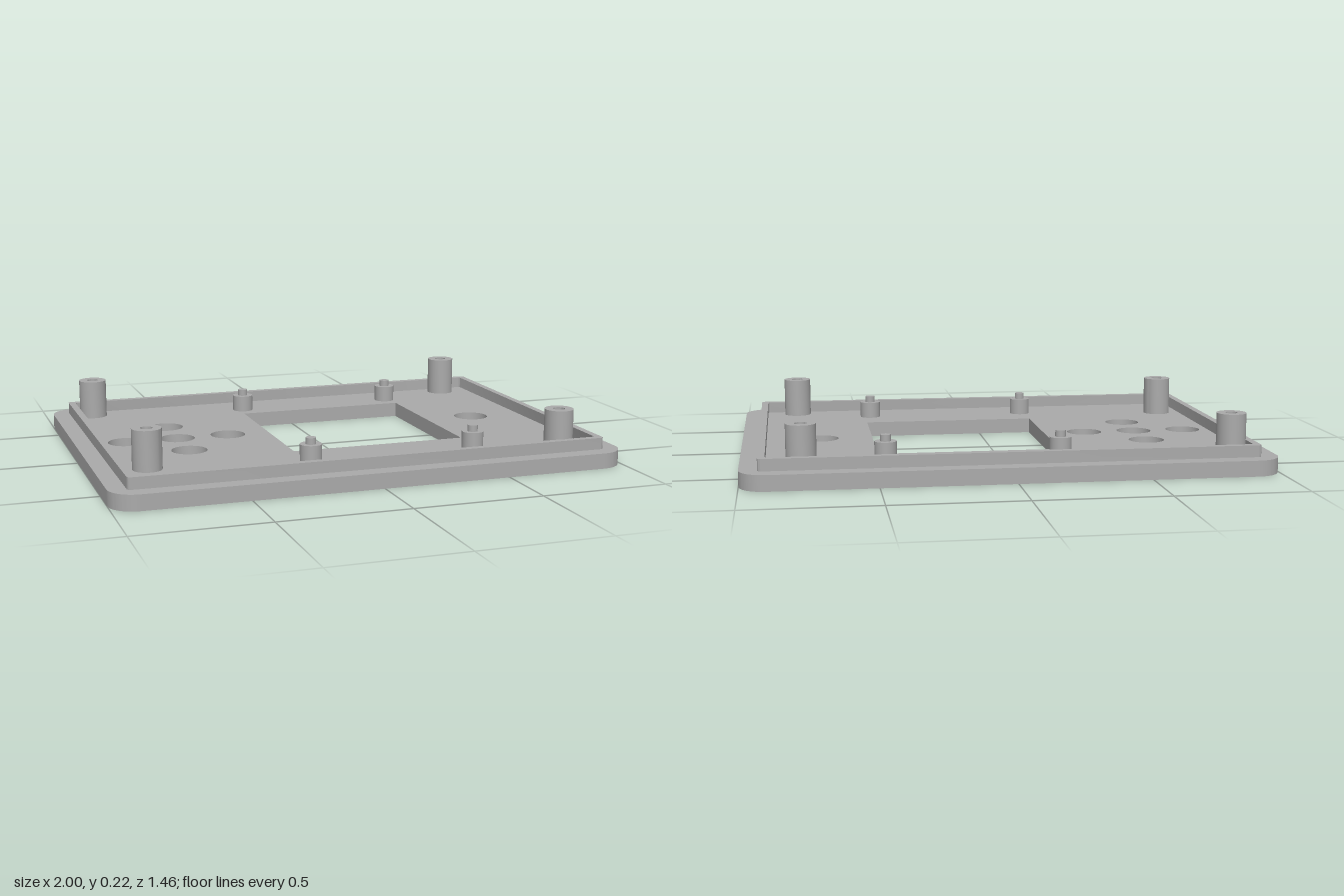
import * as THREE from 'three';
import { toCreasedNormals } from 'three/addons/utils/BufferGeometryUtils.js';

const FLOOR = 0.06;

// Rounded rectangle centred on the origin
function roundedRect(path, hw, hd, r) {
  path.moveTo(hw, -hd + r);
  path.absarc(hw - r, hd - r, r, 0, Math.PI / 2);
  path.absarc(-hw + r, hd - r, r, Math.PI / 2, Math.PI);
  path.absarc(-hw + r, -hd + r, r, Math.PI, Math.PI * 1.5);
  path.absarc(hw - r, -hd + r, r, Math.PI * 1.5, Math.PI * 2);
  path.closePath();
  return path;
}

function circle(path, x, z, r) {
  return path.absarc(x, -z, r, 0, Math.PI * 2);
}

// Extrude a plan outline (x, -z) upward from y0 to y1
function slab(shape, y0, y1) {
  const g = new THREE.ExtrudeGeometry(shape, { depth: y1 - y0, bevelEnabled: false, curveSegments: 16 });
  g.rotateX(-Math.PI / 2).translate(0, y0, 0);
  return toCreasedNormals(g, 0.6);
}

export function createModel() {
  const model = new THREE.Group();
  model.name = 'enclosureLid';
  const grey = new THREE.MeshStandardMaterial({ color: 0xaaaaaa });
  grey.name = 'grey plastic';

  const add = (name, geometry, parent = model) => {
    const mesh = new THREE.Mesh(geometry, grey);
    mesh.name = name;
    parent.add(mesh);
    return mesh;
  };

  // Base plate with display window and button holes
  const plate = roundedRect(new THREE.Shape(), 1, 0.73, 0.1);
  const windowHole = new THREE.Path();
  windowHole.setFromPoints([
    [-0.217, -0.314], [-0.217, 0.395], [0.485, 0.395], [0.485, -0.314],
  ].map(([x, y]) => new THREE.Vector2(x, y)));
  windowHole.closePath();
  plate.holes.push(windowHole);
  const buttons = [[-0.594, -0.25], [-0.802, -0.041], [-0.594, -0.041],
    [-0.385, -0.041], [-0.594, 0.167], [0.69, -0.041]];
  for (const [x, z] of buttons) plate.holes.push(circle(new THREE.Path(), x, z, 0.07));
  add('basePlate', slab(plate, 0, FLOOR));

  // Raised locating lip
  const lip = roundedRect(new THREE.Shape(), 0.932, 0.664, 0.015);
  lip.holes.push(roundedRect(new THREE.Path(), 0.905, 0.636, 0.01));
  add('lip', slab(lip, FLOOR, 0.105));

  // Hollow screw posts near the corners
  for (const [x, z] of [[-0.84, -0.566], [0.775, -0.571], [-0.807, 0.4], [0.775, 0.584]]) {
    const ring = circle(new THREE.Shape(), x, z, 0.056);
    ring.holes.push(circle(new THREE.Path(), x, z, 0.023));
    add('screwPost', slab(ring, FLOOR, 0.215));
  }

  // Stepped pegs around the window
  for (const x of [-0.2, 0.462]) {
    for (const z of [-0.48, 0.472]) {
      const peg = new THREE.Group();
      peg.name = 'displayPeg';
      model.add(peg);
      add('pegCollar', new THREE.CylinderGeometry(0.042, 0.042, 0.065, 32), peg).position.set(x, FLOOR + 0.0325, z);
      add('pegPin', new THREE.CylinderGeometry(0.02, 0.02, 0.025, 24), peg).position.set(x, 0.1375, z);
    }
  }

  return model;
}
